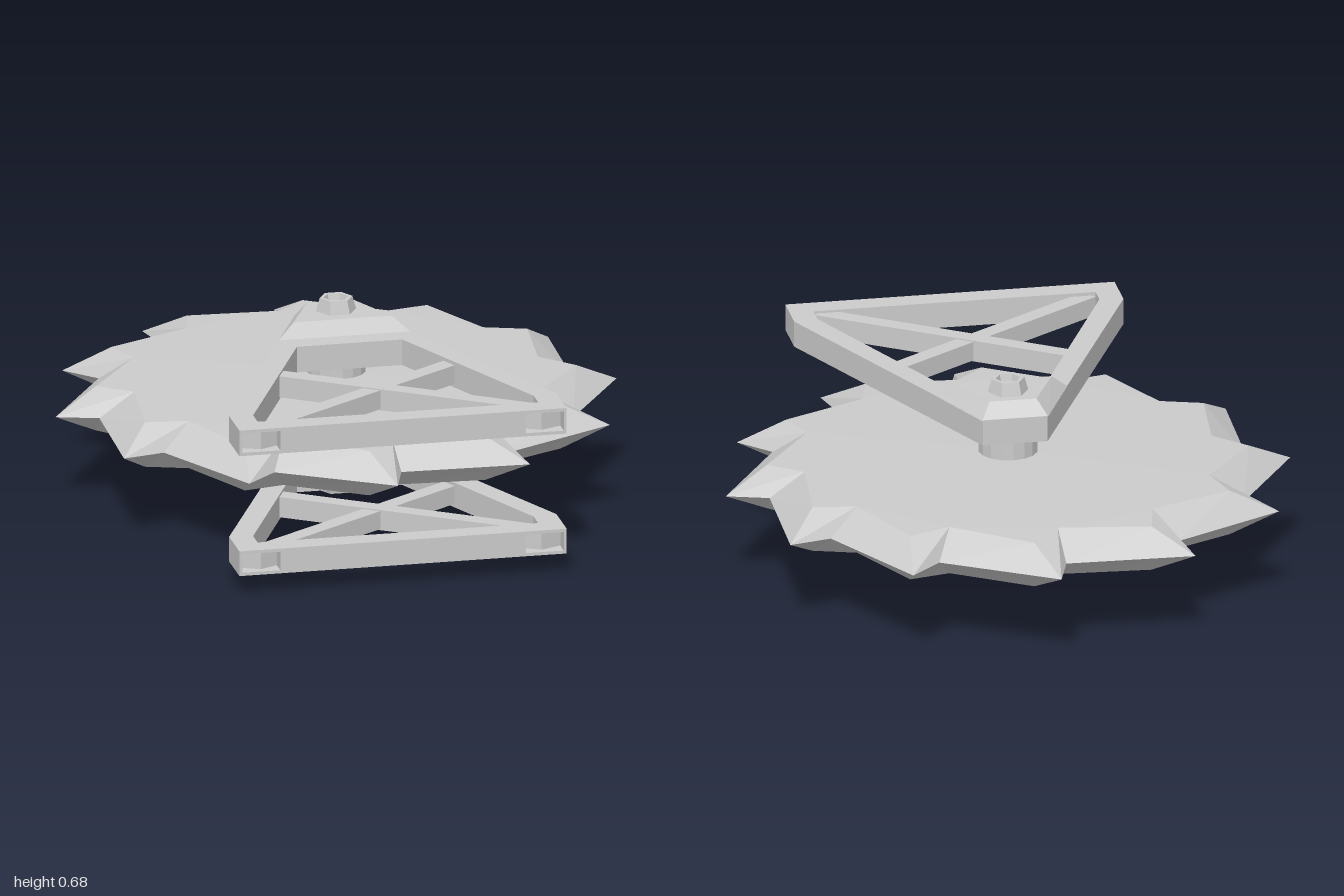
import * as THREE from 'three';

const AXIS_Z = -0.04;

function material(side = THREE.FrontSide) {
  return new THREE.MeshStandardMaterial({ color: 0xcccccc, flatShading: true, side });
}

function addMesh(parent, geometry, name, mat = material()) {
  const mesh = new THREE.Mesh(geometry, mat);
  mesh.name = name;
  parent.add(mesh);
  return mesh;
}

// Faces given as corner lists (triangles or quads) turned into a flat geometry
function facesToGeometry(faces) {
  const pos = [];
  for (const f of faces) {
    for (let i = 1; i < f.length - 1; i++) pos.push(...f[0], ...f[i], ...f[i + 1]);
  }
  const g = new THREE.BufferGeometry();
  g.setAttribute('position', new THREE.Float32BufferAttribute(pos, 3));
  g.computeVertexNormals();
  return g;
}

// Twelve-toothed saw blade with bevelled, raked teeth and slightly domed faces
function bladeGeometry() {
  const teeth = 12, midY = 0.32, faces = [];
  const point = (deg, r, y) => {
    const a = THREE.MathUtils.degToRad(deg);
    return [r * Math.sin(a), midY + y, AXIS_Z - r * Math.cos(a)];
  };
  for (const s of [1, -1]) {
    const add = (...f) => faces.push(s > 0 ? f : f.reverse());
    const centre = point(0, 0, 0.1 * s);
    for (let i = 0; i < teeth; i++) {
      const a = (i * 360) / teeth, b = a + 360 / teeth;
      const gullet = point(a - 3, 0.7, 0.083 * s);
      const gulletEdge = point(a - 3, 0.82, 0);
      const tip = point(a, 0.96, 0);
      const crest = point(a + 4.5, 0.81, 0.078 * s);
      const nextGullet = point(b - 3, 0.7, 0.083 * s);
      const nextEdge = point(b - 3, 0.82, 0);
      add(centre, nextGullet, gullet);
      add(gullet, nextGullet, crest);
      add(gullet, crest, tip, gulletEdge);
      add(crest, nextGullet, nextEdge, tip);
    }
  }
  return facesToGeometry(faces);
}

// One horizontal slab of the A-shaped arm; the middle slab carries the end sockets
function armSlab(top, depth, sockets) {
  const right = [[0.11, -0.17], [0.56, 0.84], [0.56, 1]];
  if (sockets) right.push([0.55, 1], [0.55, 0.945], [0.48, 0.975], [0.42, 0.945], [0.42, 1]);
  const mirror = (pts) => pts.map(([x, z]) => [-x, z]).reverse();
  const toVec = (pts) => pts.map(([x, z]) => new THREE.Vector2(x, z));
  const shape = new THREE.Shape(toVec([...right, ...mirror(right)]));
  const hole = [[0.18, 0.17], [0.48, 0.85], [0.48, 0.92]];
  shape.holes.push(new THREE.Path(toVec([...hole, ...mirror(hole)])));
  const g = new THREE.ExtrudeGeometry(shape, { depth, bevelEnabled: false });
  return g.rotateX(Math.PI / 2).translate(0, top, 0);
}

// Arm: frame slabs plus crossed braces
function makeArm(name, bottom, top) {
  const arm = new THREE.Group();
  arm.name = name;
  const skin = 0.011;
  addMesh(arm, armSlab(top, skin, false), 'frameTop');
  addMesh(arm, armSlab(top - skin, top - bottom - 2 * skin, true), 'frameCore');
  addMesh(arm, armSlab(bottom + skin, skin, false), 'frameBottom');
  for (const s of [1, -1]) {
    const brace = addMesh(arm, new THREE.BoxGeometry(0.95, top - bottom - 0.02 - 0.004 * s, 0.06), 'crossBrace');
    brace.position.set(-0.07 * s, (top + bottom) / 2, 0.66);
    brace.rotation.y = 0.606 * s;
  }
  return arm;
}

// Sloped bearing cap over the upper arm's narrow end
function capGeometry() {
  const ring = (y, xb, zb, xf, zf) => [[-xb, y, zb], [-xf, y, zf], [xf, y, zf], [xb, y, zb]];
  const low = ring(0.578, 0.112, -0.17, 0.227, 0.092);
  const high = ring(0.63, 0.08, -0.13, 0.168, 0.062);
  const faces = [high, [...low].reverse()];
  for (let i = 0; i < 4; i++) {
    const j = (i + 1) % 4;
    faces.push([low[i], low[j], high[j], high[i]]);
  }
  return facesToGeometry(faces);
}

// Tapered hexagonal nut with a stepped socket, opening upward
function nutGeometry(height, wide, narrow) {
  const profile = [
    [wide, 0], [narrow, height], [0.042, height],
    [0.036, height - 0.022], [0.022, height - 0.022], [0.018, height - 0.03], [0, height - 0.03],
  ].map(([r, y]) => new THREE.Vector2(r, y));
  return new THREE.LatheGeometry(profile, 6, Math.PI / 6);
}

export function createModel() {
  const model = new THREE.Group();
  model.name = 'sawBladeAssembly';

  addMesh(model, bladeGeometry(), 'blade');

  // Axle through blade and arms
  const axle = addMesh(model, new THREE.CylinderGeometry(0.1, 0.1, 0.36, 16), 'axle');
  axle.position.set(0, 0.32, AXIS_Z);

  model.add(makeArm('lowerArm', 0.068, 0.155));
  model.add(makeArm('upperArm', 0.49, 0.58));
  addMesh(model, capGeometry(), 'bearingCap');

  // Nuts at both ends of the axle
  const topNut = addMesh(model, nutGeometry(0.05, 0.07, 0.056), 'topNut', material(THREE.DoubleSide));
  topNut.position.set(0, 0.625, AXIS_Z);
  const bottomNut = addMesh(model, nutGeometry(0.07, 0.075, 0.06), 'bottomNut', material(THREE.DoubleSide));
  bottomNut.position.set(0, 0.07, AXIS_Z);
  bottomNut.rotation.x = Math.PI;

  return model;
}
